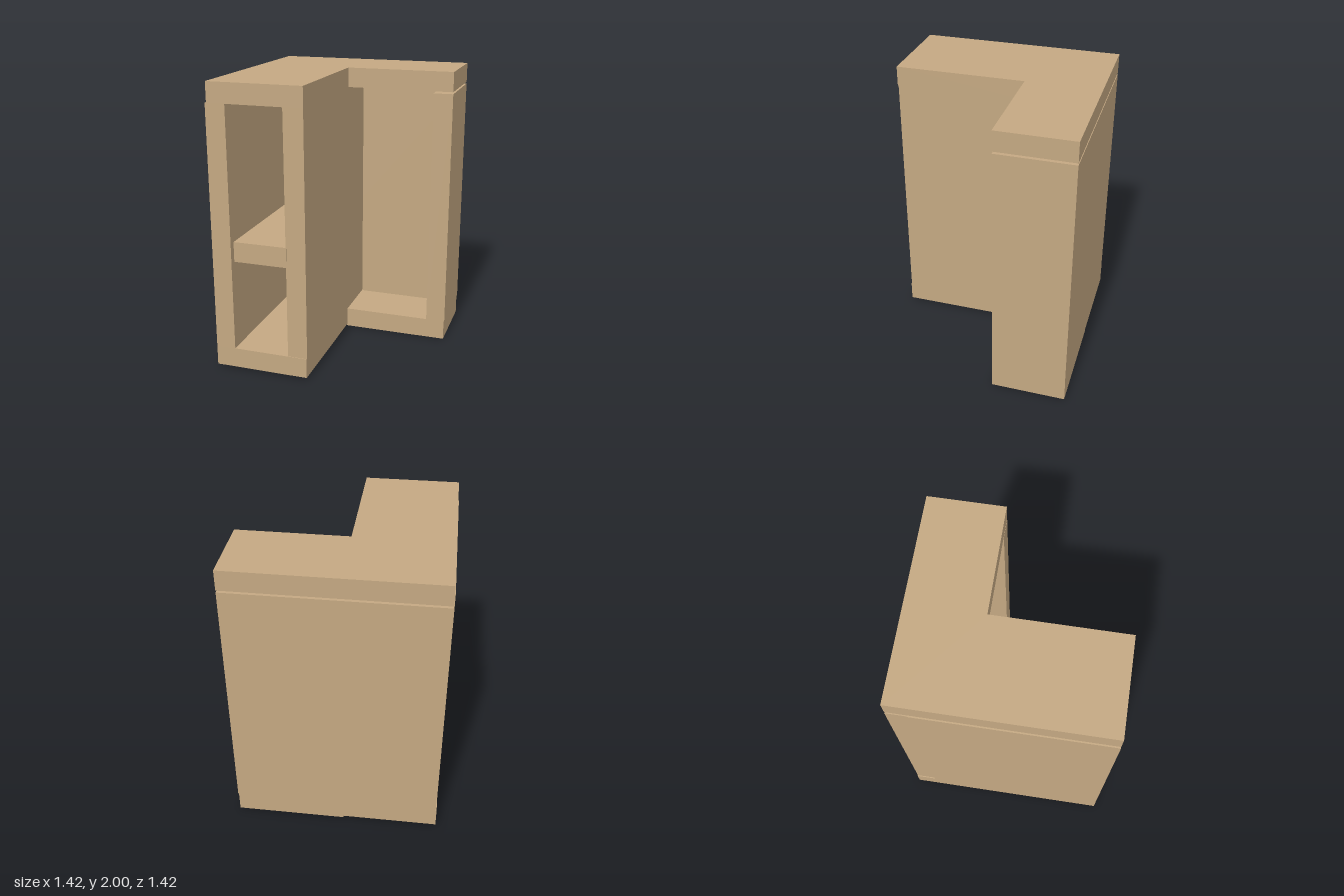
import * as THREE from 'three';

const wood = new THREE.MeshStandardMaterial({ color: 0xc4a882, flatShading: true });

// Board given by its extents on each axis
function board(name, [x0, x1], [y0, y1], [z0, z1]) {
  const mesh = new THREE.Mesh(new THREE.BoxGeometry(x1 - x0, y1 - y0, z1 - z0), wood);
  mesh.name = name;
  mesh.position.set((x0 + x1) / 2, (y0 + y1) / 2, (z0 + z1) / 2);
  return mesh;
}

// L-shaped slab covering both wings
function lTop() {
  const outline = [[-0.705, -0.71], [-0.045, -0.71], [-0.045, 0.19], [0.71, 0.19], [0.71, 0.71], [-0.705, 0.71]];
  const shape = new THREE.Shape(outline.map(([x, y]) => new THREE.Vector2(x, y)));
  const geometry = new THREE.ExtrudeGeometry(shape, { depth: 0.138, bevelEnabled: false });
  geometry.rotateX(-Math.PI / 2);
  const mesh = new THREE.Mesh(geometry, wood);
  mesh.name = 'cornerTop';
  mesh.position.y = 1.862;
  return mesh;
}

export function createModel() {
  const model = new THREE.Group();
  model.name = 'cornerCabinet';
  model.add(
    lTop(),
    // Deep wing with the shelf
    board('deepWingBase', [-0.715, -0.05], [0.015, 0.155], [-0.71, 0.71]),
    board('deepWingOuterSide', [-0.715, -0.577], [0.155, 1.862], [-0.57, 0.71]),
    board('divider', [-0.185, -0.047], [0.155, 1.862], [-0.655, 0.705]),
    board('shelf', [-0.555, -0.18], [0.8, 0.94], [-0.57, 0.71]),
    // Shallow wing
    board('shallowWingBase', [-0.055, 0.705], [0, 0.143], [-0.71, -0.19]),
    board('shallowWingSide', [0.572, 0.71], [0.143, 1.848], [-0.571, -0.19]),
    // Back panel across both wings
    board('backPanel', [-0.708, 0.71], [0.143, 1.848], [-0.71, -0.571]),
  );
  return model;
}
